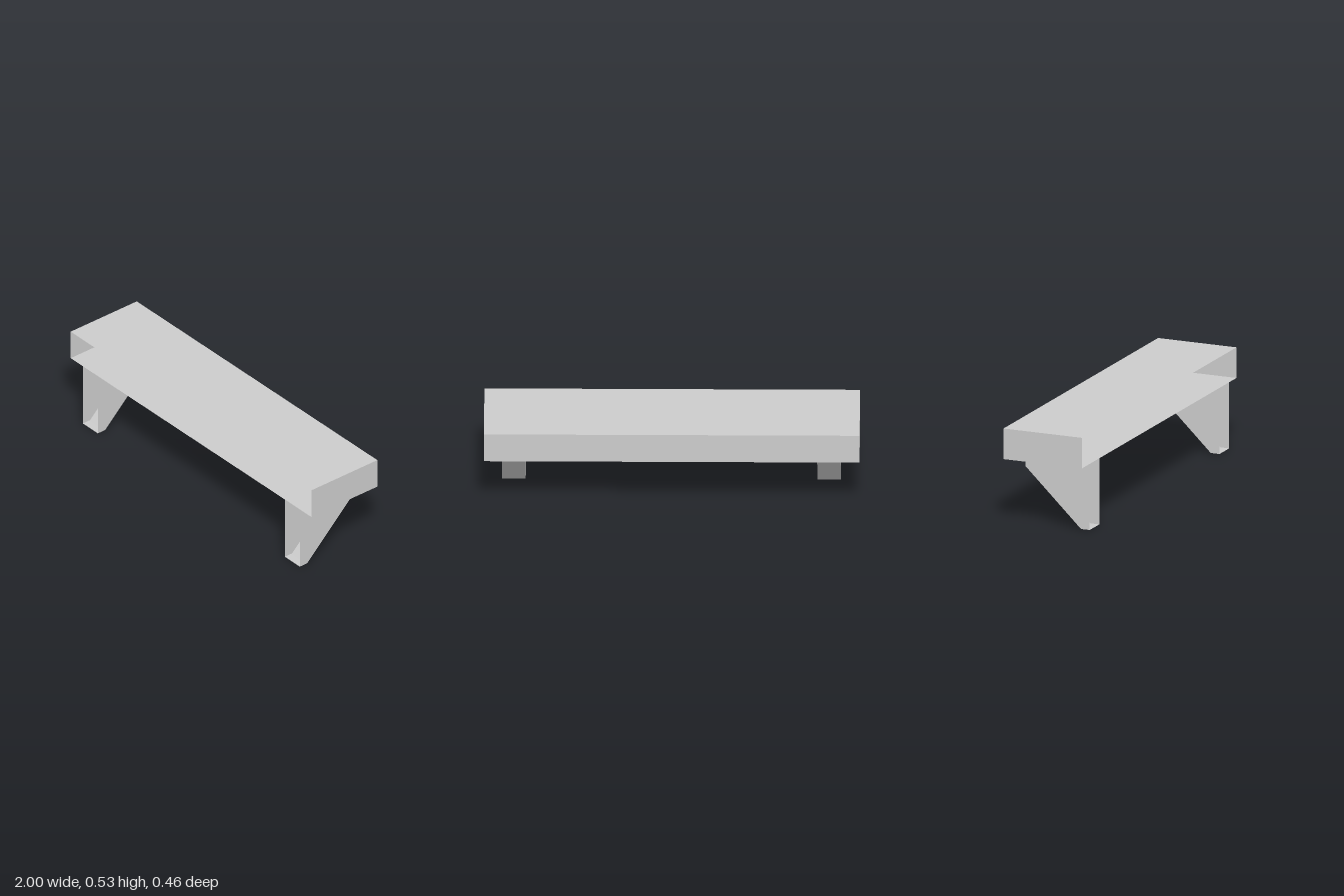
import * as THREE from 'three';

const DEPTH = 0.229; // half depth of the shelf
const UNDER = 0.365; // underside of the shelf
const TOP = 0.534;

// Bracket outline as [z, y], from the shelf down to the open wall edge
const EDGE = [[-0.145, UNDER], [-0.145, 0.31], [0.178, 0], [DEPTH, 0]];
// Edge normals [z, y]: the short ends blend softly into the slope
const EDGE_NORMALS = [[-1, 0], [-0.692, -0.721], [-0.692, -0.721], [0, -1]];

// Flat bracket cheek at x, facing outward along side (+1 or -1)
function cheek(x, side, material) {
  const outline = [...EDGE, [DEPTH, UNDER]].map(([z, y]) => new THREE.Vector2(-side * z, y));
  const geometry = new THREE.ShapeGeometry(new THREE.Shape(outline));
  geometry.rotateY(side * Math.PI / 2).translate(x, 0, 0);
  const mesh = new THREE.Mesh(geometry, material);
  mesh.name = side > 0 ? 'bracketLeftCheek' : 'bracketRightCheek';
  return mesh;
}

// Strip that follows the nose, slope and foot of the bracket
function edgeStrip(x1, x2, material) {
  const positions = [], normals = [], index = [];
  EDGE.forEach(([z, y], i) => {
    const [nz, ny] = EDGE_NORMALS[i];
    positions.push(x1, y, z, x2, y, z);
    normals.push(0, ny, nz, 0, ny, nz);
    const a = i * 2;
    if (i < EDGE.length - 1) index.push(a, a + 1, a + 2, a + 1, a + 3, a + 2);
  });
  const geometry = new THREE.BufferGeometry();
  geometry.setAttribute('position', new THREE.Float32BufferAttribute(positions, 3));
  geometry.setAttribute('normal', new THREE.Float32BufferAttribute(normals, 3));
  geometry.setIndex(index);
  const mesh = new THREE.Mesh(geometry, material);
  mesh.name = 'bracketEdge';
  return mesh;
}

function bracket(name, x1, x2, material) {
  const group = new THREE.Group();
  group.name = name;
  group.add(cheek(x1, -1, material), cheek(x2, 1, material), edgeStrip(x1, x2, material));
  return group;
}

export function createModel() {
  const grey = new THREE.MeshStandardMaterial({ color: 0xcccccc, side: THREE.DoubleSide });
  grey.name = 'plain grey';

  const model = new THREE.Group();
  model.name = 'wallShelf';

  // Hollow shelf: a box without its +z face, which is open
  const box = new THREE.BoxGeometry(2, TOP - UNDER, DEPTH * 2);
  const kept = Array.from(box.index.array).filter((_, i) => i < 24 || i >= 30);
  box.setIndex(kept);
  box.clearGroups();
  const shelf = new THREE.Mesh(box, grey);
  shelf.name = 'shelf';
  shelf.position.y = (TOP + UNDER) / 2;

  // Hollow brackets, also open towards +z
  model.add(
    shelf,
    bracket('rightBracket', -0.899, -0.774, grey),
    bracket('leftBracket', 0.78, 0.905, grey),
  );
  return model;
}
